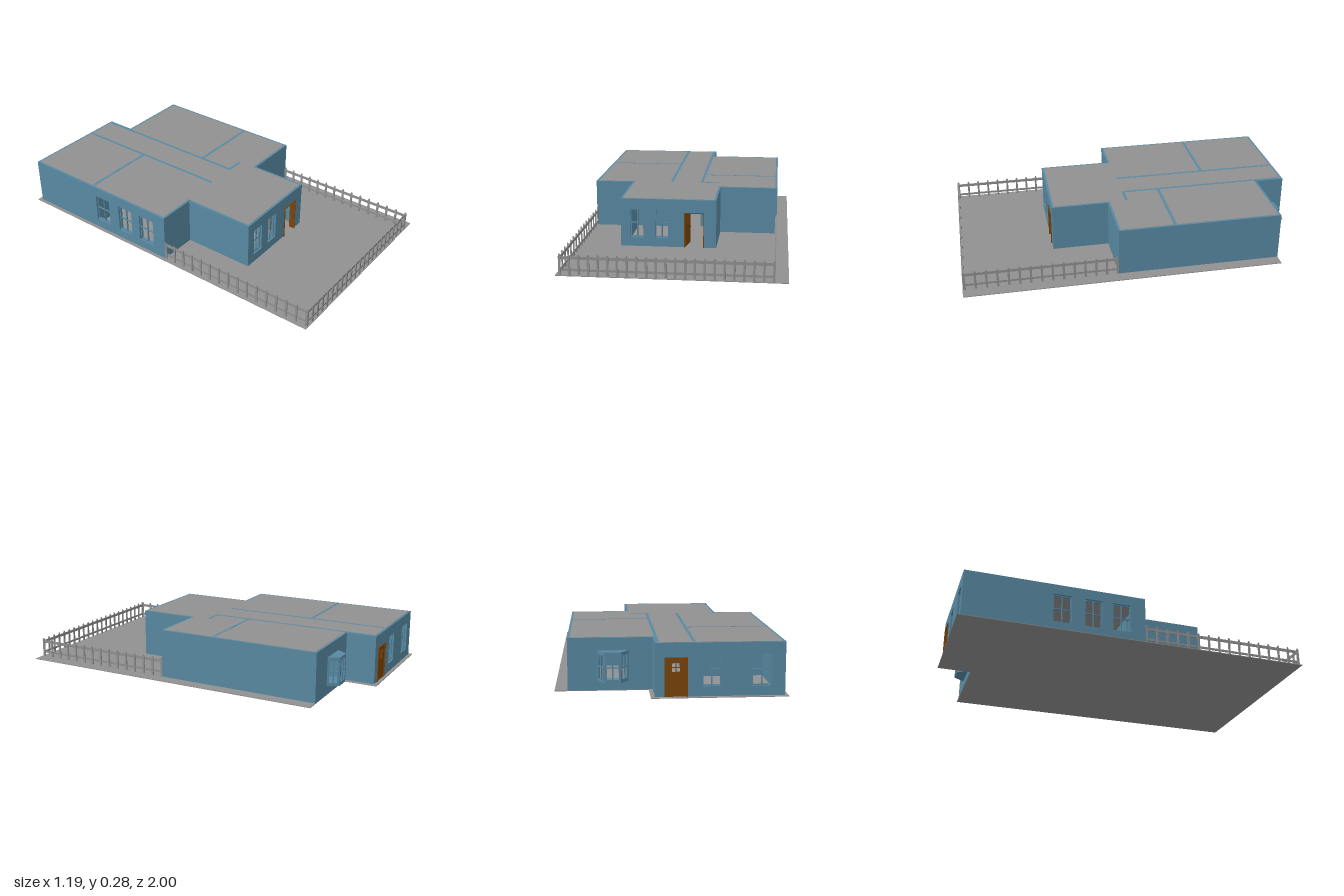
import * as THREE from 'three';

export function createModel() {
  const model = new THREE.Group();
  const make = (name, color) => {
    const m = new THREE.MeshStandardMaterial({ color });
    m.name = name;
    return m;
  };
  const blue = make('wall blue', 0x5889a2);
  const grey = make('concrete grey', 0x909090);
  const brown = make('door brown', 0x7b4408);

  const add = (parent, name, geo, mat, x = 0, y = 0, z = 0) => {
    const m = new THREE.Mesh(geo, mat);
    m.name = name;
    m.position.set(x, y, z);
    parent.add(m);
    return m;
  };
  const box = (parent, name, mat, w, h, d, x, y, z) =>
    add(parent, name, new THREE.BoxGeometry(w, h, d), mat, x, y, z);
  const rect = (C, x0, y0, x1, y1) =>
    new C([[x0, y0], [x1, y0], [x1, y1], [x0, y1]].map(p => new THREE.Vector2(...p)));

  // group whose x axis runs from a to b and whose z axis points outwards
  const along = (name, a, b) => {
    const g = new THREE.Group();
    g.name = name;
    g.position.set(a[0], 0, a[1]);
    g.rotation.y = Math.atan2(a[1] - b[1], b[0] - a[0]);
    model.add(g);
    return g;
  };
  // horizontal plate from an outline in x, z
  const plate = (name, pts, y, h, mat) => {
    const s = new THREE.Shape(pts.map(([x, z]) => new THREE.Vector2(x, -z)));
    const geo = new THREE.ExtrudeGeometry(s, { depth: h, bevelEnabled: false });
    geo.rotateX(-Math.PI / 2);
    return add(model, name, geo, mat, 0, y, 0);
  };

  // window frame with one upright and one cross bar
  const windowFrame = (g, [u0, y0, u1, y1], z, mat = blue, b = 0.006) => {
    const w = u1 - u0, h = y1 - y0, cx = (u0 + u1) / 2, cy = (y0 + y1) / 2;
    for (const x of [u0 + b / 2, cx, u1 - b / 2]) box(g, 'windowBar', mat, b, h, 0.008, x, cy, z);
    for (const y of [y0 + b / 2, cy, y1 - b / 2]) box(g, 'windowBar', mat, w, b, 0.007, cx, y, z);
  };

  // wall from a to b; windows and doors are [start, bottom, end, top] along it
  const FLOOR = 0.004;
  const wall = (name, a, b, { windows = [], doors = [], t = 0.03, y0 = FLOOR, y1 = 0.279 } = {}) => {
    const g = along(name, a, b);
    const len = Math.hypot(b[0] - a[0], b[1] - a[1]);
    const outline = [[0, y0]];
    for (const [u0, , u1, top] of doors) outline.push([u0, y0], [u0, top], [u1, top], [u1, y0]);
    outline.push([len, y0], [len, y1], [0, y1]);
    const s = new THREE.Shape(outline.map(p => new THREE.Vector2(...p)));
    for (const w of windows) s.holes.push(rect(THREE.Path, ...w));
    const geo = new THREE.ExtrudeGeometry(s, { depth: t, bevelEnabled: false });
    add(g, name, geo, blue, 0, 0, -t);
    for (const w of windows) windowFrame(g, w, -t / 2);
    return g;
  };

  // ground slab
  plate('groundSlab', [[-0.593, -1], [0.105, -1], [0.105, -0.81], [0.593, -0.81],
    [0.593, 1], [-0.593, 1]], 0, FLOOR, grey);

  // outer walls, walked with the outside on the right-hand side
  const plan = [[-0.35, 0.46], [0.19, 0.46], [0.19, 0.13], [0.525, 0.13], [0.525, -0.81],
    [0.085, -0.81], [0.085, -0.98], [-0.575, -0.98], [-0.575, 0.04], [-0.35, 0.04]];
  const W0 = 0.055, W1 = 0.22, D1 = 0.205;
  const openings = {
    0: { windows: [[0.055, W0, 0.132, W1], [0.195, W0, 0.272, W1]], doors: [[0.36, 0, 0.472, D1]] },
    4: { windows: [[0.16, 0.06, 0.31, 0.205]] },
    6: { windows: [[0.24, W0, 0.335, W1], [0.49, W0, 0.595, W1]], doors: [[0.047, 0, 0.165, D1]] },
    7: { windows: [[0.49, W0, 0.595, W1], [0.67, W0, 0.77, W1], [0.83, W0, 0.935, W1]] },
  };
  const outer = plan.map((p, i) => {
    const o = openings[i] || {};
    // the bay takes the place of a frame in the back wall
    if (i !== 4) return wall('outerWall', p, plan[(i + 1) % plan.length], o);
    const q = plan[5];
    wall('outerWall', p, [0.365, q[1]]);
    wall('outerWall', [0.215, q[1]], q);
    wall('wallUnderBay', [0.365, q[1]], [0.215, q[1]], { y1: 0.06 });
    return wall('wallOverBay', [0.365, q[1]], [0.215, q[1]], { y0: 0.205 });
  });

  // inner walls, with doorways off the corridor
  const inner = { t: 0.016, y1: 0.2803 };
  wall('corridorWall', [-0.105, 0.02], [-0.105, -0.96],
    { ...inner, doors: [[0.08, 0, 0.18, D1], [0.62, 0, 0.72, D1]] });
  wall('corridorWall', [0.078, 0.02], [0.078, -0.96],
    { ...inner, doors: [[0.06, 0, 0.16, D1], [0.4, 0, 0.5, D1]] });
  wall('roomWall', [-0.56, -0.507], [-0.11, -0.507], inner);
  wall('roomWall', [0.07, -0.187], [0.51, -0.187], inner);
  wall('hallWall', [-0.36, 0.036], [-0.06, 0.036], { t: 0.03 });
  wall('hallWall', [0.07, 0.026], [0.175, 0.026], inner);
  wall('hallWall', [0.19, 0.14], [0.19, 0.01], {});
  box(model, 'innerDoor', brown, 0.1, 0.2, 0.008, -0.16, 0.104, -0.06);

  // flat roof, set in from the wall faces
  const inset = plan.map((p, i) => {
    const n = plan.length, a = plan[(i + n - 1) % n], b = plan[(i + 1) % n];
    const side = (s, e) => [Math.sign(e[1] - s[1]), -Math.sign(e[0] - s[0])];
    const s1 = side(a, p), s2 = side(p, b);
    return [p[0] + 0.012 * (s1[0] + s2[0]), p[1] + 0.012 * (s1[1] + s2[1])];
  });
  plate('roof', inset, 0.27, 0.01, grey);

  // bay window
  const bay = [[0.37, -0.81], [0.335, -0.87], [0.25, -0.87], [0.21, -0.81]];
  for (let i = 0; i < 3; i++) {
    const [a, b] = [bay[i], bay[i + 1]];
    const len = Math.hypot(b[0] - a[0], b[1] - a[1]);
    wall('bayWindow', a, b,
      { t: 0.006, y0: 0.055, y1: 0.21, windows: [[0.006, 0.064, len - 0.006, 0.2]] });
  }
  plate('baySill', bay, 0.052, 0.008, blue);
  plate('bayTop', bay, 0.204, 0.008, blue);

  // door frames
  const doorFrame = (g, u0, u1) => {
    for (const u of [u0 + 0.002, u1 - 0.002]) box(g, 'doorFrame', brown, 0.004, 0.2, 0.036, u, 0.104, -0.012);
    box(g, 'doorFrame', brown, u1 - u0, 0.004, 0.036, (u0 + u1) / 2, 0.203, -0.012);
  };
  // door leaf with a small four-pane window, hinged at its left edge
  const doorLeaf = (g, u, z, w, turn) => {
    const leaf = new THREE.Group();
    leaf.name = 'door';
    leaf.position.set(u, 0, z);
    leaf.rotation.y = turn;
    g.add(leaf);
    const pane = [w * 0.27, 0.125, w * 0.73, 0.18];
    const s = rect(THREE.Shape, 0, FLOOR, w, 0.201);
    s.holes.push(rect(THREE.Path, ...pane));
    add(leaf, 'doorLeaf', new THREE.ExtrudeGeometry(s, { depth: 0.01, bevelEnabled: false }), brown, 0, 0, -0.01);
    windowFrame(leaf, pane, -0.005, brown, 0.005);
    add(leaf, 'doorKnob', new THREE.SphereGeometry(0.004, 10, 8), brown, w * 0.9, 0.1, 0.003);
  };
  doorFrame(outer[0], 0.36, 0.472);
  doorLeaf(outer[0], 0.366, -0.006, 0.104, 1.4);
  doorFrame(outer[6], 0.047, 0.165);
  doorLeaf(outer[6], 0.051, 0, 0.11, 0);

  // picket fence
  const PW = 0.006;
  const picketShape = new THREE.Shape([[-PW, FLOOR], [PW, FLOOR], [PW, 0.105], [0.002, 0.115],
    [-0.002, 0.115], [-PW, 0.105]].map(p => new THREE.Vector2(...p)));
  const picketGeo = new THREE.ExtrudeGeometry(picketShape, { depth: 0.006, bevelEnabled: false });
  const fence = (a, b, step) => {
    const g = along('fence', a, b);
    const len = Math.hypot(b[0] - a[0], b[1] - a[1]);
    for (const [y, h] of [[0.095, 0.016], [0.031, 0.012]])
      box(g, 'fenceRail', grey, len, h, 0.005, len / 2, y, -0.0055);
    const n = Math.round(len / step);
    for (let i = 0; i <= n; i++)
      add(g, 'picket', picketGeo, grey, PW + (i / n) * (len - 2 * PW), 0, -0.004);
  };
  fence([-0.575, 0.994], [0.525, 0.994], 0.0503);
  fence([0.523, 0.994], [0.523, 0.13], 0.062);
  fence([-0.573, 0.04], [-0.573, 0.994], 0.062);

  return model;
}
